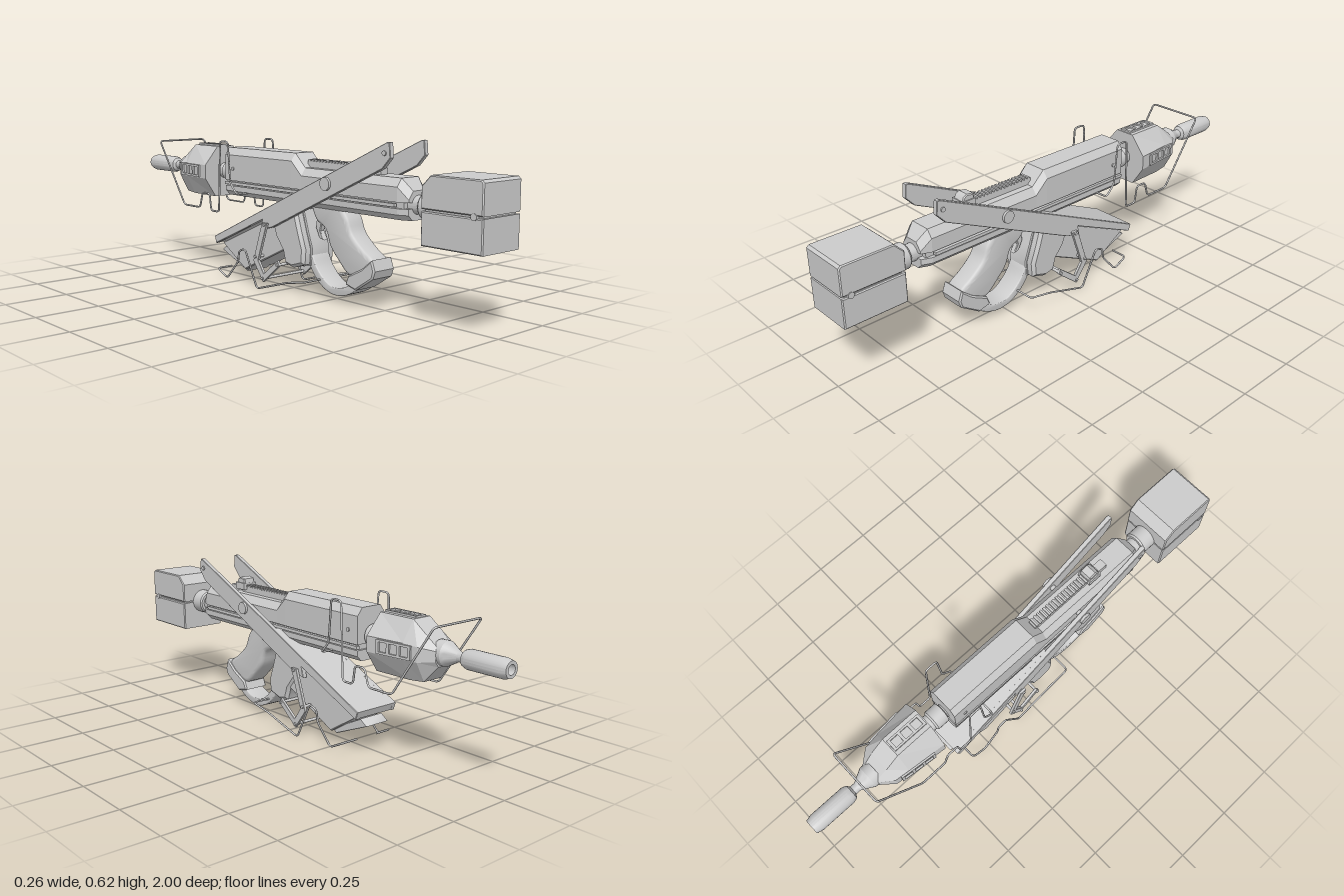
import * as THREE from 'three';
import { toCreasedNormals } from 'three/addons/utils/BufferGeometryUtils.js';

const grey = new THREE.MeshStandardMaterial({ color: 0xcccccc });

export function createModel() {
  const model = new THREE.Group();

  const add = (name, geo, x = 0, y = 0, z = 0) => {
    const mesh = new THREE.Mesh(geo, grey);
    mesh.name = name;
    mesh.position.set(x, y, z);
    model.add(mesh);
    return mesh;
  };
  const box = (name, w, h, d, x, y, z) => add(name, new THREE.BoxGeometry(w, h, d), x, y, z);

  // Side profile given as [z, y], extruded across x and centred on cx
  const side = (name, pts, half, { bevel = 0.004, cx = 0, smooth = false } = {}) => {
    const v = pts.map(p => new THREE.Vector2(...p));
    const shape = new THREE.Shape();
    if (smooth) shape.setFromPoints(new THREE.SplineCurve([...v, v[0]]).getPoints(48).slice(0, -1));
    else shape.setFromPoints(v);
    const geo = new THREE.ExtrudeGeometry(shape, {
      depth: 2 * (half - bevel), bevelEnabled: bevel > 0, bevelSize: bevel,
      bevelThickness: bevel, bevelOffset: -bevel, bevelSegments: smooth ? 3 : 1,
    });
    geo.translate(0, 0, bevel - half).rotateY(-Math.PI / 2);
    return add(name, toCreasedNormals(geo, 0.6), cx);
  };

  // Mirrored half sections [x, y] (bottom to top) joined from +z to -z
  const loft = (name, sections) => {
    const rings = sections.map(([z, half]) => [
      ...half.map(([x, y]) => [x, y, z]),
      ...half.slice().reverse().map(([x, y]) => [-x, y, z]),
    ]);
    const out = [], n = rings[0].length;
    for (let k = 0; k < rings.length - 1; k++) {
      const a = rings[k], b = rings[k + 1];
      for (let i = 0; i < n; i++) {
        const j = (i + 1) % n;
        out.push(a[i], b[i], a[j], a[j], b[i], b[j]);
      }
    }
    const f = rings[0], l = rings.at(-1);
    for (let i = 1; i < n - 1; i++) out.push(f[0], f[i], f[i + 1], l[0], l[i + 1], l[i]);
    const geo = new THREE.BufferGeometry();
    geo.setAttribute('position', new THREE.Float32BufferAttribute(out.flat(), 3));
    geo.computeVertexNormals();
    return add(name, geo);
  };

  // Turned part along z; profile given as [radius, z], running towards -z
  const turned = (name, profile, y) => {
    const geo = new THREE.LatheGeometry(profile.map(([r, z]) => new THREE.Vector2(r, -z)), 24);
    return add(name, toCreasedNormals(geo.rotateX(-Math.PI / 2), 0.5), 0, y, 0);
  };

  const pin = (name, r, length, x, y, z) =>
    add(name, toCreasedNormals(new THREE.CylinderGeometry(r, r, length, 16).rotateZ(Math.PI / 2), 0.6), x, y, z);

  // Bent wire with rounded corners, mirrored about x = 0
  const wire = (name, half, r = 0.004) => {
    const pts = [...half, ...half.slice().reverse().map(([x, y, z]) => [-x, y, z])].map(p => new THREE.Vector3(...p));
    const path = new THREE.CurvePath();
    let last = pts[0];
    for (let i = 1; i < pts.length - 1; i++) {
      const p = pts[i], toPrev = pts[i - 1].clone().sub(p), toNext = pts[i + 1].clone().sub(p);
      const cut = Math.min(0.016, toPrev.length() * 0.45, toNext.length() * 0.45);
      const a = p.clone().add(toPrev.setLength(cut)), b = p.clone().add(toNext.setLength(cut));
      path.add(new THREE.LineCurve3(last, a));
      path.add(new THREE.QuadraticBezierCurve3(a, p, b));
      last = b;
    }
    path.add(new THREE.LineCurve3(last, pts.at(-1)));
    return add(name, new THREE.TubeGeometry(path, 420, r, 6));
  };

  // Flat panel with three square openings, lying in the z-y plane
  const ventPanel = (name, length, height, depth) => {
    const s = new THREE.Shape([[-1, -1], [1, -1], [1, 1], [-1, 1]].map(([a, b]) => new THREE.Vector2(a * length / 2, b * height / 2)));
    for (const c of [-1, 0, 1]) {
      const w = length * 0.115, h = height * 0.34, x = c * length * 0.31;
      s.holes.push(new THREE.Path([[-w, -h], [-w, h], [w, h], [w, -h]].map(([a, b]) => new THREE.Vector2(x + a, b))));
    }
    const geo = new THREE.ExtrudeGeometry(s, { depth, bevelEnabled: false });
    return add(name, geo.translate(0, 0, -depth / 2).rotateY(-Math.PI / 2));
  };

  // Shoulder stock: two blocks with a seam, and its neck
  side('stockUpper', [[0.746, 0.415], [1, 0.415], [1, 0.522], [0.99, 0.531], [0.785, 0.531], [0.746, 0.492]], 0.1);
  side('stockLower', [[0.746, 0.29], [1, 0.29], [1, 0.408], [0.746, 0.408]], 0.099);
  box('stockCore', 0.18, 0.03, 0.23, 0, 0.411, 0.873);
  for (const s of [-1, 1]) pin('stockPin', 0.012, 0.012, s * 0.097, 0.412, 0.965);
  turned('stockNeck', [[0, 0.76], [0.05, 0.76], [0.05, 0.69], [0.045, 0.683], [0.034, 0.683], [0.034, 0.63]], 0.41);

  // Receiver: raised upper shell, side rails and lower shell
  const shell = (z, top, w) => [z, [[w, 0.42], [w, top - 0.03], [w - 0.022, top]]];
  loft('receiverUpper', [shell(0.65, 0.46, 0.05), shell(0.61, 0.503, 0.066), shell(0.115, 0.503, 0.066),
    shell(0.06, 0.557, 0.068), shell(-0.36, 0.557, 0.068)]);
  box('receiverCore', 0.104, 0.07, 0.98, 0, 0.415, 0.14);
  const lower = (z, w) => [z, [[w - 0.02, 0.356], [w, 0.376], [w, 0.398]]];
  loft('receiverLower', [lower(0.65, 0.05), lower(0.61, 0.066), lower(-0.36, 0.066)]);
  for (const s of [-1, 1]) {
    box('sideRail', 0.014, 0.012, 0.96, s * 0.064, 0.409, 0.12);
    pin('receiverScrew', 0.008, 0.008, s * 0.068, 0.47, -0.31);
  }

  // Toothed top rail and rear sight
  box('topRail', 0.034, 0.026, 0.31, 0, 0.515, 0.255);
  for (let i = 0; i < 18; i++) box('railTooth', 0.04, 0.008, 0.009, 0, 0.531, 0.112 + i * 0.0165);
  box('sightBase', 0.062, 0.028, 0.06, 0, 0.528, 0.41);
  side('sightBlock', [[0.38, 0.535], [0.44, 0.535], [0.43, 0.556], [0.415, 0.565], [0.385, 0.56]], 0.026);
  box('sightTail', 0.034, 0.024, 0.05, 0, 0.514, 0.463);

  // Barrel shroud: faceted hull with vented panels
  const hull = (z, bot, b, w, lo, hi, a, top) => [z, [[b, bot], [w, lo], [w, hi], [a, top]]];
  loft('barrelShroud', [
    hull(-0.45, 0.34, 0.055, 0.108, 0.42, 0.478, 0.042, 0.555),
    hull(-0.61, 0.34, 0.05, 0.092, 0.42, 0.478, 0.042, 0.555),
    hull(-0.67, 0.345, 0.045, 0.085, 0.42, 0.474, 0.042, 0.512),
    hull(-0.72, 0.405, 0.03, 0.045, 0.425, 0.462, 0.036, 0.472),
  ]);
  for (const s of [-1, 1]) {
    const p = ventPanel('shroudSideVent', 0.15, 0.052, 0.012);
    p.position.set(s * 0.097, 0.449, -0.572);
    p.rotation.y = s * 0.1;
  }
  const topVent = ventPanel('shroudTopVent', 0.15, 0.05, 0.012);
  topVent.position.set(0, 0.556, -0.53);
  topVent.rotation.z = Math.PI / 2;

  // Barrel and hollow muzzle
  turned('barrel', [[0.03, -0.34], [0.03, -0.365], [0.042, -0.37], [0.042, -0.42], [0.034, -0.427], [0.034, -0.46]], 0.45);
  turned('muzzle', [[0.046, -0.7], [0.046, -0.735], [0.038, -0.748], [0.018, -0.785], [0.018, -0.805], [0.03, -0.813],
    [0.036, -0.83], [0.036, -0.975], [0.03, -1], [0.018, -1], [0.018, -0.9], [0, -0.9]], 0.45);

  // Sloping arms either side, with pivots
  for (const s of [-1, 1]) {
    side('slopingArm', [[0.602, 0.628], [0.59, 0.628], [-0.4, 0.178], [-0.39, 0.148], [-0.08, 0.285], [-0.09, 0.242],
      [-0.02, 0.26], [0.57, 0.535], [0.607, 0.575]], 0.01, { bevel: 0.002, cx: s * 0.09 });
    pin('armPivot', 0.025, 0.012, s * 0.104, 0.46, 0.29);
    pin('armTipPin', 0.009, 0.008, s * 0.101, 0.59, 0.58);
  }
  pin('pivotShaft', 0.012, 0.19, 0, 0.46, 0.29);

  // Cover between the arms, and the tilted magazine beneath it
  side('armCover', [[0.1, 0.405], [-0.4, 0.178], [-0.39, 0.15], [0.1, 0.37]], 0.098, { bevel: 0.003 });
  side('magazine', [[0.06, 0.34], [-0.375, 0.15], [-0.225, 0.056], [0.02, 0.17]], 0.075);
  side('magazineLip', [[-0.215, 0.062], [-0.37, 0.138], [-0.403, 0.115], [-0.235, 0.045]], 0.055, { bevel: 0.002 });

  // Pistol grip, its base and the trigger guard
  side('pistolGrip', [[0.3, 0.38], [0.34, 0.33], [0.365, 0.275], [0.42, 0.225], [0.475, 0.185], [0.46, 0.13], [0.36, 0.115],
    [0.295, 0.165], [0.25, 0.215], [0.225, 0.275], [0.17, 0.31], [0.155, 0.38]], 0.046, { bevel: 0.016, smooth: true });
  side('gripBase', [[0.48, 0.195], [0.495, 0.155], [0.485, 0.125], [0.4, 0.07], [0.345, 0.085], [0.36, 0.12], [0.43, 0.155]],
    0.055, { bevel: 0.006 });
  side('triggerGuard', [[0.46, 0.125], [0.39, 0.065], [0.325, 0.035], [0.26, 0.033], [0.2, 0.06], [0.155, 0.105], [0.125, 0.16],
    [0.15, 0.175], [0.18, 0.125], [0.22, 0.085], [0.265, 0.062], [0.32, 0.065], [0.36, 0.085], [0.42, 0.135]],
    0.045, { bevel: 0.004, smooth: true });
  side('trigger', [[0.19, 0.36], [0.165, 0.26], [0.185, 0.225], [0.16, 0.23], [0.14, 0.27], [0.15, 0.36]], 0.012, { bevel: 0.003 });

  // Chunky foregrip with a narrower front rib
  side('foregrip', [[0.1, 0.34], [0.125, 0.26], [0.15, 0.19], [0.145, 0.13], [0.08, 0.11], [0.035, 0.12], [0.02, 0.17],
    [-0.02, 0.22], [-0.05, 0.3]], 0.084, { bevel: 0.012 });
  side('foregripRib', [[0.108, 0.34], [0.133, 0.26], [0.158, 0.19], [0.153, 0.125], [0.09, 0.115], [0.06, 0.3]], 0.048);

  // Angled struts joined by cross pins
  for (const s of [-1, 1])
    side('strut', [[-0.035, 0.275], [-0.065, 0.275], [-0.12, 0.115], [-0.06, 0.035], [0.04, 0.115], [0.03, 0.135],
      [-0.055, 0.07], [-0.09, 0.12]], 0.006, { bevel: 0.001, cx: s * 0.109 });
  for (const [y, z] of [[0.268, -0.05], [0.132, -0.105], [0.05, -0.06], [0.118, 0.03]]) pin('strutPin', 0.006, 0.242, 0, y, z);

  // Bent wire frames: front hoop and lower stand
  wire('frontWire', [[0.05, 0.375, -0.22], [0.12, 0.375, -0.22], [0.12, 0.42, -0.262], [0.12, 0.587, -0.275],
    [0.12, 0.587, -0.328], [0.12, 0.29, -0.34], [0.12, 0.29, -0.395], [0.12, 0.362, -0.405], [0.12, 0.362, -0.455],
    [0.12, 0.296, -0.475], [0.12, 0.296, -0.59], [0.12, 0.565, -0.775]]);
  wire('lowerWire', [[0.05, 0.05, -0.345], [0.125, 0.05, -0.345], [0.125, 0.018, -0.28], [0.125, 0.1, -0.205],
    [0.125, 0.145, -0.2], [0.125, 0.157, -0.16], [0.125, 0.006, -0.085], [0.125, 0.06, 0.1], [0.125, 0.078, 0.2]]);

  return model;
}
